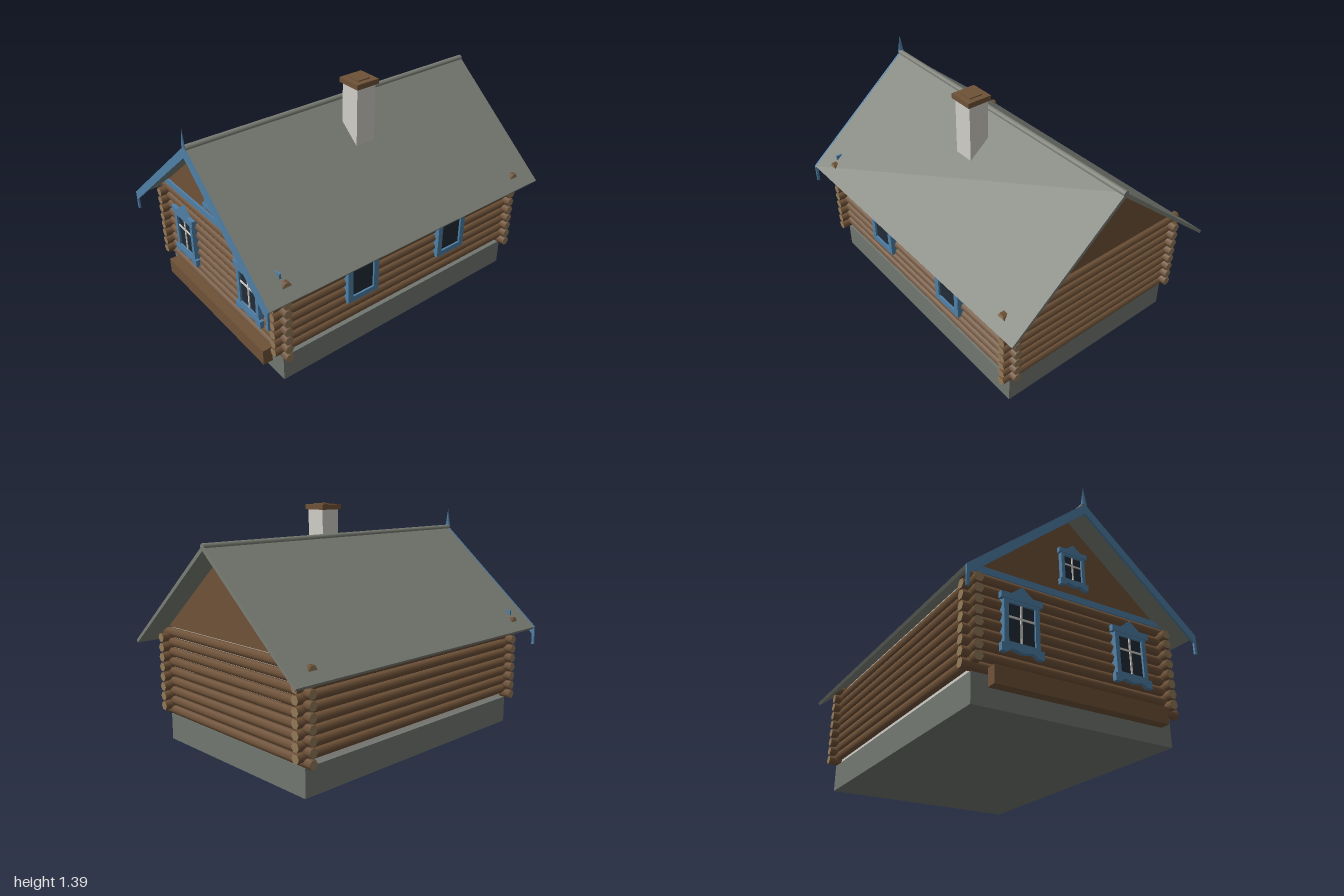
import * as THREE from 'three';

const mat = (name, color) => {
  const m = new THREE.MeshStandardMaterial({ color });
  m.name = name;
  return m;
};

export function createModel() {
  const model = new THREE.Group();
  model.name = 'logCabin';

  const log = mat('logBrown', 0x6f5238);
  const logEnd = mat('cutWood', 0x937a58);
  const stone = mat('foundationGrey', 0x727770);
  const roofGrey = mat('roofGrey', 0x7b7e76);
  const plaster = mat('plaster', 0xd0cec9);
  const blue = mat('blueTrim', 0x4f7fa6);
  const glass = mat('darkGlass', 0x212c36);

  const add = (name, geometry, material, parent = model) => {
    const mesh = new THREE.Mesh(geometry, material);
    mesh.name = name;
    parent.add(mesh);
    return mesh;
  };
  // Box given by its lower and upper limits on each axis
  const box = (name, [x0, x1], [y0, y1], [z0, z1], material, parent) =>
    add(name, new THREE.BoxGeometry(x1 - x0, y1 - y0, z1 - z0), material, parent)
      .position.set((x0 + x1) / 2, (y0 + y1) / 2, (z0 + z1) / 2);
  const outline = (points) => new THREE.Shape(points.map(([a, b]) => new THREE.Vector2(a, b)));
  const plate = (shape, depth) => new THREE.ExtrudeGeometry(shape, { depth, bevelEnabled: false });
  // Symmetric (z, y) profile run along x from x0 to x1
  const prism = (name, points, x0, x1, material) => {
    const g = plate(outline(points), x1 - x0);
    g.rotateY(Math.PI / 2).translate(x0, 0, 0);
    return add(name, g, material);
  };

  // Foundation and the wall core seen between the logs
  box('foundation', [-0.85, 0.85], [0, 0.16], [-0.6, 0.6], stone);
  box('wallCore', [-0.835, 0.835], [0.16, 0.69], [-0.578, 0.578], plaster);

  // Interlocking six-sided logs
  const pitch = 0.0587;
  const logs = new THREE.Group();
  logs.name = 'logWalls';
  model.add(logs);
  const longLog = new THREE.CylinderGeometry(0.0275, 0.0275, 1.81, 6).rotateZ(Math.PI / 2);
  const crossLog = new THREE.CylinderGeometry(0.0275, 0.0275, 1.31, 6)
    .rotateZ(Math.PI / 2).rotateY(Math.PI / 2);
  for (const side of [-1, 1]) {
    for (let i = 0; i < 9; i++) {
      add('crossLog', crossLog, [log, logEnd, logEnd], logs)
        .position.set(side * 0.843, 0.19 + i * pitch, 0);
      if (i < 8) {
        add('longLog', longLog, [log, logEnd, logEnd], logs)
          .position.set(0, 0.219 + i * pitch, side * 0.59);
      }
    }
  }

  // Gable walls
  for (const x of [-0.85, 0.84]) {
    prism('gableWall', [[-0.59, 0.692], [0.59, 0.692], [0, 1.19]], x, x + 0.01, log);
  }

  // Roof with ridge roll
  prism('roof', [
    [0.71, 0.612], [0, 1.21], [-0.71, 0.612], [-0.7, 0.597], [0, 1.182], [0.7, 0.597],
  ], -0.99, 0.995, roofGrey);
  add('ridgeRoll', new THREE.CylinderGeometry(0.018, 0.018, 1.99, 8).rotateZ(Math.PI / 2), roofGrey)
    .position.set(0, 1.203, 0);

  // Barge boards with hanging tails on the decorated gable
  prism('bargeBoards', [
    [0.71, 0.612], [0, 1.211], [-0.71, 0.612], [-0.71, 0.5], [-0.694, 0.5], [-0.694, 0.567],
    [0, 1.15], [0.694, 0.567], [0.694, 0.5], [0.71, 0.5],
  ], -1, -0.988, blue);
  box('gableBand', [-0.862, -0.85], [0.685, 0.722], [-0.616, 0.616], blue);
  const finial = add('finial', new THREE.ConeGeometry(0.021, 0.115, 4), blue);
  finial.scale.x = 0.25;
  finial.position.set(-0.994, 1.267, 0);

  // Chimney with stepped cap
  box('chimney', [-0.064, 0.064], [0.95, 1.352], [0.115, 0.24], plaster);
  box('chimneyCap', [-0.076, 0.076], [1.352, 1.382], [0.102, 0.254], log);
  box('chimneyCapTop', [-0.042, 0.042], [1.382, 1.388], [0.136, 0.22], log);

  // Bench along the decorated gable
  box('bench', [-0.925, -0.867], [0.09, 0.185], [-0.52, 0.52], log);

  // Window facing +z about its own centre, optionally carved and with glazing bars
  function makeWindow(name, w, h, border, carved) {
    const g = new THREE.Group();
    g.name = name;
    const a = w / 2, b = h / 2, c = a - border, d = b - border;
    const frame = outline([[-a, -b], [a, -b], [a, b], [-a, b]]);
    frame.holes.push(outline([[-c, -d], [-c, d], [c, d], [c, -d]]));
    add('windowFrame', plate(frame, 0.04), blue, g).position.z = -0.02;
    box('windowGlass', [-c, c], [-d, d], [-0.02, 0.008], glass, g);
    if (carved) {
      const bar = w * 0.025;
      box('verticalBar', [-bar, bar], [-d, d], [0.008, 0.014], plaster, g);
      box('crossBar', [-c, c], [d * 0.3 - bar, d * 0.3 + bar], [0.008, 0.014], plaster, g);
      // Carved crown above and apron below
      const e = a * 1.18;
      const crown = outline([
        [-e, b - 0.01], [e, b - 0.01], [e, b + w * 0.12], [a * 0.6, b + w * 0.12],
        [a * 0.3, b + w * 0.24], [0, b + w * 0.36], [-a * 0.3, b + w * 0.24],
        [-a * 0.6, b + w * 0.12], [-e, b + w * 0.12],
      ]);
      const apron = outline([
        [-e, -b + 0.012], [-e, -b - w * 0.16], [-a * 0.85, -b - w * 0.16],
        [-a * 0.6, -b - w * 0.06], [0, -b - w * 0.12], [a * 0.6, -b - w * 0.06],
        [a * 0.85, -b - w * 0.16], [e, -b - w * 0.16], [e, -b + 0.012],
      ]);
      add('windowCrown', plate(crown, 0.025), blue, g);
      add('windowApron', plate(apron, 0.025), blue, g);
    }
    model.add(g);
    return g;
  }

  // Plain windows in the long front wall
  for (const x of [-0.333, 0.34]) {
    makeWindow('frontWindow', 0.215, 0.27, 0.034, false).position.set(x, 0.465, 0.617);
  }
  // Carved windows in the decorated gable and its attic
  for (const z of [-0.34, 0.34]) {
    const win = makeWindow('gableWindow', 0.205, 0.26, 0.026, true);
    win.rotation.y = -Math.PI / 2;
    win.position.set(-0.87, 0.445, z);
  }
  const attic = makeWindow('atticWindow', 0.15, 0.18, 0.02, true);
  attic.rotation.y = -Math.PI / 2;
  attic.position.set(-0.855, 0.875, 0);

  return model;
}
